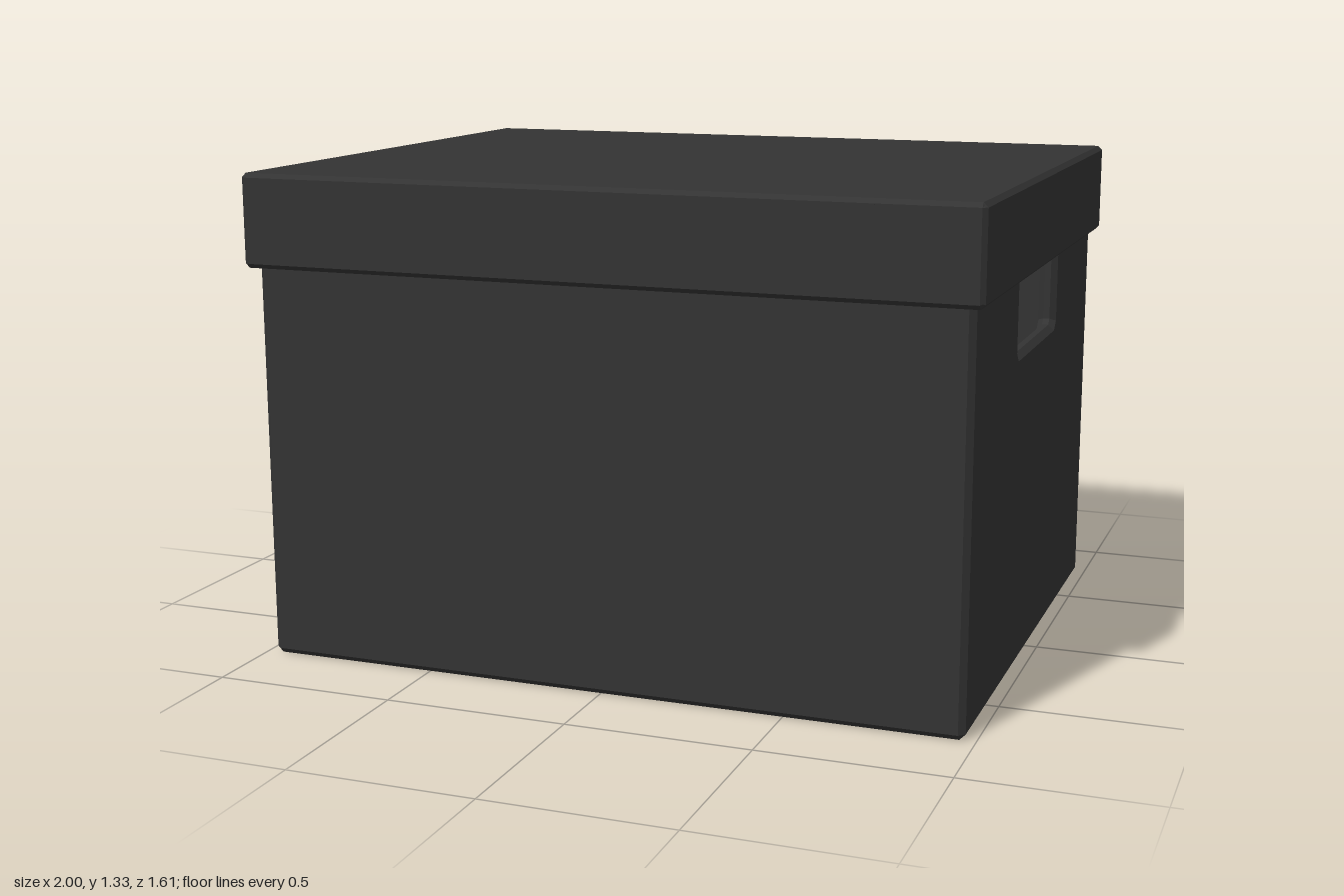
import * as THREE from 'three';

const material = new THREE.MeshStandardMaterial({ color: 0x333333 });

// Rectangle path centred on x, with small cut corners
function cutRect(path, halfW, y0, y1, c) {
  path.setFromPoints([
    [-halfW + c, y0], [halfW - c, y0], [halfW, y0 + c], [halfW, y1 - c],
    [halfW - c, y1], [-halfW + c, y1], [-halfW, y1 - c], [-halfW, y0 + c],
  ].map(([x, y]) => new THREE.Vector2(x, y)));
  path.closePath();
  return path;
}

// Bevelled board in the XY plane, centred on z = 0, with an optional opening
function board(halfW, y0, y1, thickness, bevel, hole) {
  const shape = cutRect(new THREE.Shape(), halfW, y0, y1, bevel);
  if (hole) shape.holes.push(cutRect(new THREE.Path(), hole.halfW, hole.y0, hole.y1, 0.015));
  const depth = thickness - 2 * bevel;
  return new THREE.ExtrudeGeometry(shape, {
    depth, bevelEnabled: true, bevelSegments: 1,
    bevelSize: bevel, bevelThickness: bevel, bevelOffset: -bevel,
  }).translate(0, 0, -depth / 2);
}

// Hollow five-sided case: four walls and one closing panel
function makeCase(name, { halfX, halfZ, y0, y1, thickness: t, bevel, panelY, panelName, hole }) {
  const group = new THREE.Group();
  group.name = name;
  const add = (partName, geometry, x, y, z) => {
    const mesh = new THREE.Mesh(geometry, material);
    mesh.name = partName;
    mesh.position.set(x, y, z);
    group.add(mesh);
  };
  const longWall = board(halfX, y0, y1, t, bevel);
  const endWall = board(halfZ, y0, y1, t, bevel, hole).rotateY(Math.PI / 2);
  const panel = board(halfX, -halfZ, halfZ, t, bevel).rotateX(-Math.PI / 2);
  add('frontWall', longWall, 0, 0, halfZ - t / 2);
  add('backWall', longWall, 0, 0, -halfZ + t / 2);
  add('leftWall', endWall, halfX - t / 2, 0, 0);
  add('rightWall', endWall, -halfX + t / 2, 0, 0);
  add(panelName, panel, 0, panelY, 0);
  return group;
}

export function createModel() {
  const model = new THREE.Group();
  model.name = 'storageBox';

  // Box with a hand hole in each end wall
  model.add(makeCase('body', {
    halfX: 0.973, halfZ: 0.777, y0: 0, y1: 1.29, thickness: 0.05, bevel: 0.016,
    panelY: 0.025, panelName: 'floor',
    hole: { halfW: 0.255, y0: 0.873, y1: 1.15 },
  }));

  // Lid that slips over the rim
  model.add(makeCase('lid', {
    halfX: 1, halfZ: 0.807, y0: 1.08, y1: 1.333, thickness: 0.027, bevel: 0.012,
    panelY: 1.333 - 0.0135, panelName: 'lidTop',
  }));

  return model;
}
